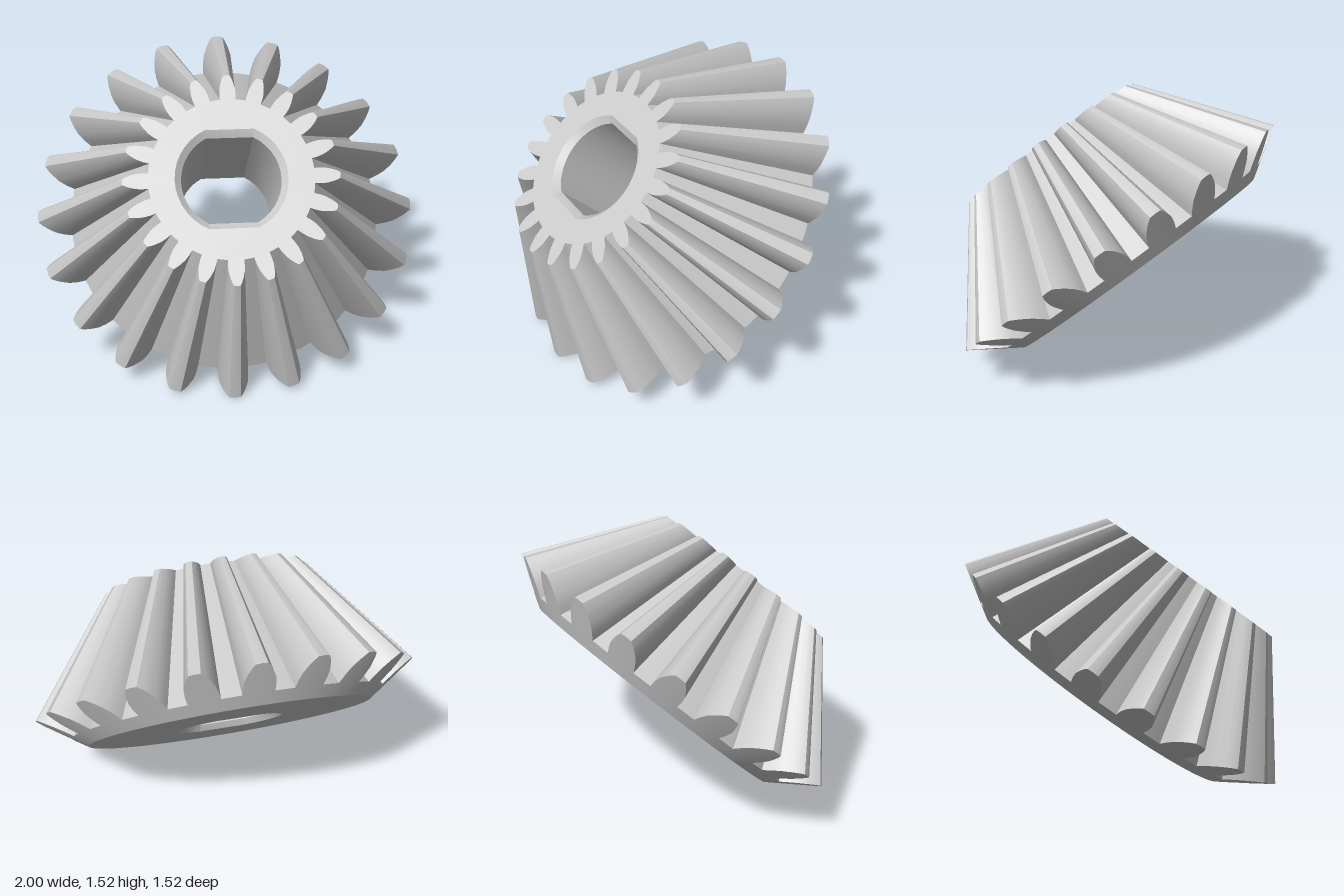
import * as THREE from 'three';
import { toCreasedNormals } from 'three/addons/utils/BufferGeometryUtils.js';

const TEETH = 20;
const FRONT = 1.075, BACK = 0.297, APEX = 1.786; // positions along the gear axis
const DISC_R = 0.75, BACK_SLOPE = 0.664;         // flat back disc and its back cone

// Half a tooth at the small end: [radius, half angle]
const FLANK = [[0.41, 0.096], [0.44, 0.092], [0.47, 0.082], [0.5, 0.062], [0.52, 0.046], [0.5355, 0.03]];

// Gear outline at the small end, counter-clockwise
function gearOutline() {
  const pts = [];
  const add = (r, a) => pts.push(new THREE.Vector3(r * Math.cos(a), r * Math.sin(a), FRONT));
  for (let i = 0; i < TEETH; i++) {
    const a = (i * 2 * Math.PI) / TEETH;
    FLANK.forEach(([r, h]) => add(r, a - h));
    add(0.5375, a);
    [...FLANK].reverse().forEach(([r, h]) => add(r, a + h));
    add(FLANK[0][0], a + Math.PI / TEETH); // middle of the gap
  }
  return pts;
}

// Round bore with two flats, counter-clockwise
function boreOutline(radius, flat, z) {
  const pts = [], reach = Math.asin(flat / radius), n = 14;
  for (const start of [0, Math.PI]) {
    for (let i = 0; i <= n; i++) {
      const a = start - reach + (2 * reach * i) / n;
      pts.push(new THREE.Vector3(radius * Math.cos(a), radius * Math.sin(a), z));
    }
  }
  return pts;
}

// Skin joining closed loops of equal length
function loft(loops) {
  const pos = [];
  for (let k = 0; k + 1 < loops.length; k++) {
    const a = loops[k], b = loops[k + 1];
    for (let i = 0; i < a.length; i++) {
      const j = (i + 1) % a.length;
      for (const p of [a[i], b[i], b[j], a[i], b[j], a[j]]) pos.push(p.x, p.y, p.z);
    }
  }
  const g = new THREE.BufferGeometry();
  g.setAttribute('position', new THREE.Float32BufferAttribute(pos, 3));
  return toCreasedNormals(g, 0.4);
}

// Flat face with the bore cut out
function face(outline, bore) {
  const flat = (pts) => pts.map((p) => new THREE.Vector2(p.x, p.y));
  const shape = new THREE.Shape(flat(outline));
  shape.holes.push(new THREE.Path(flat(bore)));
  return new THREE.ShapeGeometry(shape);
}

export function createModel() {
  const model = new THREE.Group();
  model.name = 'bevelGear';
  const gear = new THREE.Group();
  gear.name = 'tiltedGear';
  model.add(gear);
  const material = new THREE.MeshStandardMaterial({ color: 0xcccccc });
  const add = (name, geometry) => {
    const mesh = new THREE.Mesh(geometry, material);
    mesh.name = name;
    gear.add(mesh);
  };

  // Teeth grow away from the cone apex until they meet the back cone
  const small = gearOutline();
  const large = small.map((p) => {
    const r = Math.hypot(p.x, p.y);
    const k = (APEX - BACK + BACK_SLOPE * DISC_R) / (APEX - FRONT + BACK_SLOPE * r);
    return new THREE.Vector3(p.x * k, p.y * k, APEX - (APEX - FRONT) * k);
  });
  const disc = small.map((p) => {
    const k = DISC_R / Math.hypot(p.x, p.y);
    return new THREE.Vector3(p.x * k, p.y * k, BACK);
  });
  add('teeth', loft([small, large]));
  add('backCone', loft([large, disc]));

  // Bore with a chamfer at both ends
  const c = 0.032;
  const bore = [
    boreOutline(0.28, 0.252, BACK),
    boreOutline(0.248, 0.218, BACK + c),
    boreOutline(0.248, 0.218, FRONT - c),
    boreOutline(0.28, 0.252, FRONT),
  ];
  add('bore', loft(bore));

  // End faces
  add('frontFace', face(small, bore[3]).translate(0, 0, FRONT));
  add('backFace', face(disc, bore[0]).rotateY(Math.PI).translate(0, 0, BACK));

  // Axis leans halfway between up and forward
  gear.rotation.x = -Math.PI / 4;
  gear.position.set(0, 0.38, -0.38);
  return model;
}
